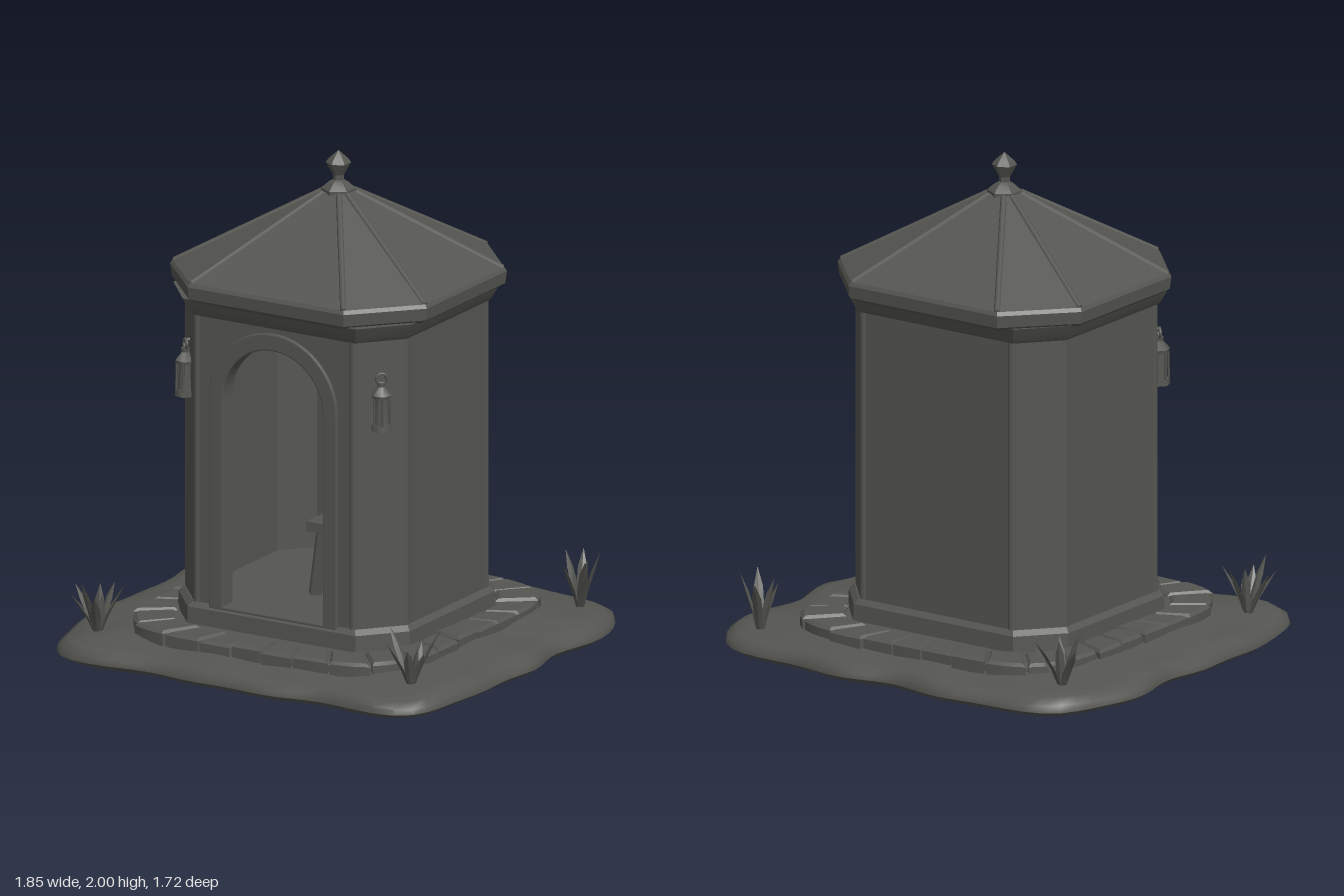
import * as THREE from 'three';
import { toCreasedNormals } from 'three/addons/utils/BufferGeometryUtils.js';

const clay = new THREE.MeshStandardMaterial({ color: 0x555651 });
clay.name = 'dark grey clay';

// Seeded random numbers
let seed = 7;
const rnd = () => (seed = (seed * 16807) % 2147483647) / 2147483647;

function add(parent, geometry, name, x = 0, y = 0, z = 0) {
  const m = new THREE.Mesh(geometry, clay);
  m.name = name;
  m.position.set(x, y, z);
  parent.add(m);
  return m;
}

// Closed solid through rings of points, bottom to top
function loft(rings, crease = 0.5) {
  const pos = [];
  const tri = (...v) => v.forEach((p) => pos.push(p.x, p.y, p.z));
  const centre = (r) => r.reduce((s, p) => s.add(p), new THREE.Vector3()).divideScalar(r.length);
  const n = rings[0].length, last = rings[rings.length - 1];
  const c0 = centre(rings[0]), c1 = centre(last);
  for (let i = 0; i < n; i++) {
    const j = (i + 1) % n;
    tri(c0, rings[0][i], rings[0][j]);
    for (let k = 0; k < rings.length - 1; k++) {
      const a = rings[k], b = rings[k + 1];
      tri(a[i], b[i], a[j]);
      tri(a[j], b[i], b[j]);
    }
    tri(c1, last[j], last[i]);
  }
  const g = new THREE.BufferGeometry();
  g.setAttribute('position', new THREE.Float32BufferAttribute(pos, 3));
  return toCreasedNormals(g, crease);
}

// Rectangle with cut corners
function octagon([hx, hz, ex, ez, z0], s, y) {
  return [[hx, -ez], [hx, ez], [ex, hz], [-ex, hz], [-hx, ez], [-hx, -ez], [-ex, -hz], [ex, -hz]]
    .map(([x, z]) => new THREE.Vector3(x * s, y, z * s + z0));
}

// Point on a rounded rectangle
function roundRect(a, hx, hz, y, n) {
  const c = Math.cos(a), s = Math.sin(a);
  const r = (Math.abs(c) ** n + Math.abs(s) ** n) ** (-1 / n);
  return new THREE.Vector3(c * r * hx, y, s * r * hz);
}

// Straight round bar between two points
function bar(parent, name, a, b, r0, r1 = r0, sides = 6) {
  const A = new THREE.Vector3(...a), d = new THREE.Vector3(...b).sub(A);
  const m = add(parent, new THREE.CylinderGeometry(r1, r0, d.length(), sides), name);
  m.position.copy(A).addScaledVector(d, 0.5);
  m.quaternion.setFromUnitVectors(new THREE.Vector3(0, 1, 0), d.normalize());
  return m;
}

function arch(path, w, bottom, spring) {
  path.moveTo(-w, bottom);
  path.lineTo(w, bottom);
  path.lineTo(w, spring);
  path.absarc(0, spring, w, 0, Math.PI, false);
  path.lineTo(-w, bottom);
  return path;
}

const BODY = [0.51, 0.467, 0.37, 0.305, -0.007];
const ROOF = [0.592, 0.547, 0.36, 0.3, -0.02];

function ground(parent) {
  const N = 96;
  const ring = (s, y, bump) => Array.from({ length: N }, (_, i) => {
    const a = (i / N) * Math.PI * 2;
    const w = 1 + 0.014 * Math.sin(a * 9 + 0.6) + 0.012 * Math.sin(a * 14 + 2);
    const p = roundRect(a, 0.905 * s * w, 0.845 * s * w, y, 7);
    p.y += bump * Math.sin(a * 11 + s * 9);
    return p;
  });
  add(parent, loft([ring(0.97, 0, 0), ring(1, 0.02, 0), ring(0.995, 0.045, 0.005), ring(0.96, 0.068, 0.006),
    ring(0.9, 0.078, 0.006), ring(0.8, 0.085, 0.005), ring(0.68, 0.11, 0)], 0.9), 'ground');
}

function paving(parent) {
  const N = 30, g = new THREE.Group();
  g.name = 'paving';
  parent.add(g);
  const disc = (s, y) => Array.from({ length: 64 }, (_, i) => roundRect((i / 64) * Math.PI * 2, 0.645 * s, 0.66 * s, y, 5));
  add(g, loft([disc(1, 0.06), disc(1, 0.115), disc(0.97, 0.128)]), 'mortarBed');
  for (let i = 0; i < N; i++) {
    const a0 = ((i + 0.03) / N) * Math.PI * 2, a1 = ((i + 0.97) / N) * Math.PI * 2;
    const out = 1 + (rnd() - 0.5) * 0.025, top = 0.135 + rnd() * 0.01;
    const ring = (inset, y) => {
      const pts = [], b0 = a0 + inset * 1.2, b1 = a1 - inset * 1.2;
      for (let k = 0; k <= 3; k++) pts.push(roundRect(b0 + (b1 - b0) * k / 3, 0.66 * out - inset, 0.675 * out - inset, y, 5));
      for (let k = 3; k >= 0; k--) pts.push(roundRect(b0 + (b1 - b0) * k / 3, 0.52 + inset, 0.53 + inset, y, 5));
      return pts;
    };
    add(g, loft([ring(0, 0.07), ring(0, top - 0.012), ring(0.012, top)], 0.6), 'pavingStone');
  }
}

function body(parent) {
  add(parent, loft([octagon(BODY, 1.05, 0.12), octagon(BODY, 1.045, 0.195), octagon(BODY, 1.01, 0.215)]), 'plinth');
  const corners = octagon(BODY, 1, 0), T = 0.06;
  corners.forEach((p, i) => {
    const q = corners[(i + 1) % 8], d = q.clone().sub(p), L = d.length() / 2;
    const n = new THREE.Vector3(d.z, 0, -d.x).normalize();
    const shape = new THREE.Shape([[-L, 0.19], [L, 0.19], [L, 1.42], [-L, 1.42]].map((v) => new THREE.Vector2(...v)));
    const front = n.z > 0.9;
    if (front) shape.holes.push(arch(new THREE.Path(), 0.23, 0.216, 1.07));
    const geo = new THREE.ExtrudeGeometry(shape, { depth: T, bevelEnabled: false, curveSegments: 20 });
    const wall = add(parent, geo, front ? 'frontWall' : 'wall');
    wall.position.copy(p).add(q).multiplyScalar(0.5).addScaledVector(n, -T);
    wall.rotation.y = Math.atan2(n.x, n.z);
    // Rounded corner post
    bar(parent, 'cornerPost', [p.x * 0.97, 0.2, p.z * 0.97], [p.x * 0.97, 1.41, p.z * 0.97], 0.02, 0.02, 10);
  });
  // Raised arch around the doorway
  const frame = arch(new THREE.Shape(), 0.295, 0.2, 1.075);
  frame.holes.push(arch(new THREE.Path(), 0.23, 0.216, 1.07));
  add(parent, new THREE.ExtrudeGeometry(frame, {
    depth: 0.02, bevelThickness: 0.006, bevelSize: 0.006, bevelOffset: -0.006, bevelSegments: 2, curveSegments: 20,
  }), 'doorFrame', 0, 0, 0.449);
}

function roof(parent) {
  add(parent, loft([octagon(BODY, 1.01, 1.39), octagon(BODY, 1.03, 1.405), octagon(BODY, 1.08, 1.46)]), 'cornice');
  add(parent, loft([octagon(ROOF, 0.94, 1.45), octagon(ROOF, 0.99, 1.47), octagon(ROOF, 1, 1.52),
    octagon(ROOF, 0.985, 1.535), octagon(ROOF, 0.1, 1.835)], 0.2), 'roof');
  const low = octagon(ROOF, 0.975, 1.532), high = octagon(ROOF, 0.1, 1.832);
  low.forEach((p, i) => bar(parent, 'roofRidge', p.toArray(), high[i].toArray(), 0.013, 0.013, 8));
  // Cap and pointed finial
  const profile = [[0, 1.8], [0.068, 1.815], [0.068, 1.845], [0.04, 1.87], [0.022, 1.88], [0.022, 1.9],
    [0.05, 1.95], [0.04, 1.965], [0, 2]].map((v) => new THREE.Vector2(...v));
  add(parent, toCreasedNormals(new THREE.LatheGeometry(profile, 6), 0.3), 'finial', 0, 0, -0.02);
}

function lantern(parent, side) {
  const g = new THREE.Group();
  g.name = side > 0 ? 'leftLantern' : 'rightLantern';
  g.position.set(side * 0.452, 1.03, 0.392);
  g.rotation.y = side * 0.7;
  parent.add(g);
  const cyl = (name, r1, r0, h, y, sides = 6) => add(g, new THREE.CylinderGeometry(r1, r0, h, sides).toNonIndexed(), name, 0, y, 0);
  cyl('lanternBase', 0.042, 0.045, 0.025, 0.012);
  cyl('lanternGlass', 0.025, 0.032, 0.11, 0.08, 10);
  cyl('lanternRim', 0.042, 0.04, 0.015, 0.138);
  cyl('lanternRoof', 0.014, 0.043, 0.035, 0.162);
  cyl('lanternKnob', 0.018, 0.018, 0.016, 0.186);
  for (let i = 0; i < 6; i++) {
    const s = Math.sin(i * Math.PI / 3), c = Math.cos(i * Math.PI / 3);
    bar(g, 'lanternBar', [s * 0.038, 0.02, c * 0.038], [s * 0.036, 0.135, c * 0.036], 0.005);
  }
  add(g, new THREE.TorusGeometry(0.02, 0.006, 6, 14), 'lanternRing', 0, 0.21, 0);
  bar(g, 'lanternHook', [0, 0.226, -0.05], [0, 0.226, 0.006], 0.007);
}

function stool(parent) {
  const g = new THREE.Group();
  g.name = 'stool';
  g.position.set(0.1, 0.21, 0.02);
  parent.add(g);
  add(g, new THREE.BoxGeometry(0.29, 0.04, 0.26), 'seat', 0, 0.283, 0);
  for (const z of [-1, 1]) {
    for (const x of [-1, 1]) bar(g, 'leg', [x * 0.115, 0, z * 0.11], [x * 0.09, 0.27, z * 0.09], 0.03, 0.03, 4);
    bar(g, 'rail', [-0.1, 0.11, z * 0.095], [0.1, 0.11, z * 0.095], 0.013, 0.013, 4);
    bar(g, 'brace', [-0.09, 0.22, z * 0.09], [0.1, 0.12, z * 0.095], 0.013, 0.013, 4);
    bar(g, 'sideRail', [z * 0.1, 0.15, -0.1], [z * 0.1, 0.15, 0.1], 0.013, 0.013, 4);
  }
}

function plant(parent, x, z) {
  const g = new THREE.Group();
  g.name = 'plant';
  g.position.set(x, 0.075, z);
  parent.add(g);
  for (let i = 0; i < 8; i++) {
    const h = 0.13 + rnd() * 0.1, lean = i < 2 ? 0.02 : 0.06 + rnd() * 0.05;
    // Pointed blade bending outward
    const blade = [[0, 0.012], [0.35, 0.019], [0.7, 0.018], [1, 0.001]].map(([t, w]) =>
      [[0.35, 0], [0, 1], [-0.35, 0], [0, -1]].map(([u, v]) =>
        new THREE.Vector3(0.012 + lean * t ** 1.3 + u * w, h * t, v * w)));
    add(g, loft(blade, 0.2), 'leaf').rotation.y = i * 2.4 + x + rnd() * 0.5;
  }
}

export function createModel() {
  const model = new THREE.Group();
  model.name = 'gardenShelter';
  ground(model);
  paving(model);
  body(model);
  roof(model);
  lantern(model, 1);
  lantern(model, -1);
  stool(model);
  [[-0.71, 0.63], [0.71, 0.59], [-0.7, -0.6], [0.72, -0.66]].forEach(([x, z]) => plant(model, x, z));
  return model;
}
